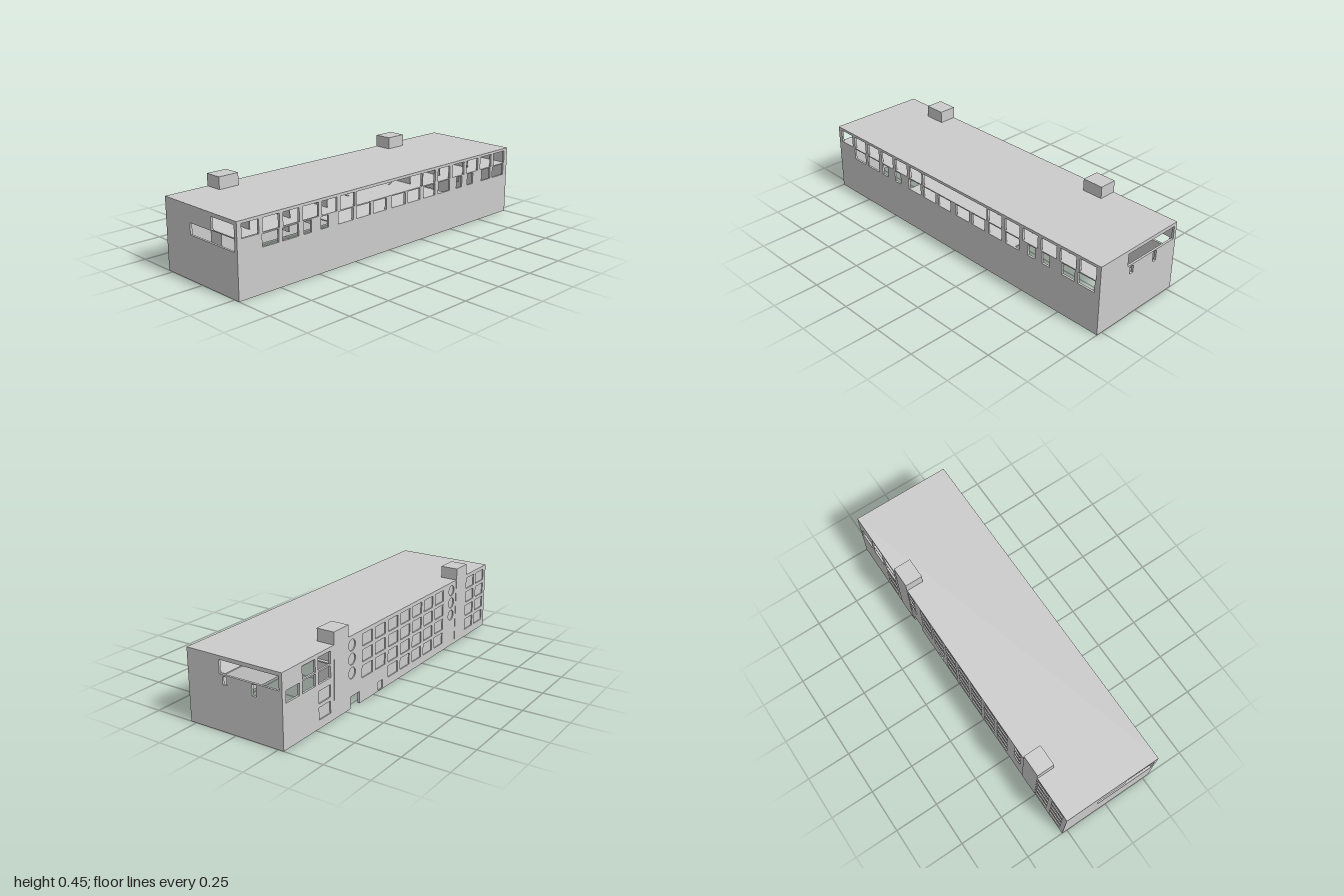
import * as THREE from 'three';

const W = 1, D = 0.283, H = 0.387, T = 0.012;
const material = new THREE.MeshStandardMaterial({ color: 0xcccccc, side: THREE.DoubleSide });

function add(group, name, geometry) {
  const mesh = new THREE.Mesh(geometry, material);
  mesh.name = name;
  group.add(mesh);
  return mesh;
}

// Box given by its two corners
function block(group, name, x0, x1, y0, y1, z0, z1) {
  const mesh = add(group, name, new THREE.BoxGeometry(x1 - x0, y1 - y0, z1 - z0));
  mesh.position.set((x0 + x1) / 2, (y0 + y1) / 2, (z0 + z1) / 2);
  return mesh;
}

const polygon = (points) => points.map(([x, y]) => new THREE.Vector2(x, y));
const rect = (x0, x1, y0, y1) => polygon([[x0, y0], [x1, y0], [x1, y1], [x0, y1]]);

// Flat plate with openings, each a list of points
function plate(outline, holes, depth) {
  const shape = new THREE.Shape(outline);
  holes.forEach((points) => shape.holes.push(new THREE.Path(points)));
  return new THREE.ExtrudeGeometry(shape, { depth, bevelEnabled: false });
}

function circle(x, y, r) {
  return new THREE.Path().absarc(x, y, r, 0, Math.PI * 2).getPoints(24);
}

// Centre of each window bay, counted from -x
const bay = (k) => -0.923 + 0.12307 * k;

export function createModel() {
  const model = new THREE.Group();
  model.name = 'longBuilding';

  // Front wall: upper window row with a wide middle opening
  const front = [rect(-0.246, 0.25, 0.3, 0.372)];
  for (let k = 0; k < 16; k++) {
    if (k < 6 || k > 9) front.push(rect(bay(k) - 0.05, bay(k) + 0.05, 0.3, 0.372));
  }
  // Lower row mixes wide and narrow windows
  const lower = [
    [-0.855, -0.755], [-0.733, -0.632], [-0.6, -0.55], [-0.487, -0.438], [-0.37, -0.268],
    [-0.246, -0.145], [-0.123, -0.027], [0.016, 0.118], [0.139, 0.235], [0.262, 0.358],
    [0.385, 0.481], [0.54, 0.588], [0.636, 0.685], [0.765, 0.845], [0.866, 0.968],
  ];
  lower.forEach(([a, b]) => front.push(rect(a, b, 0.23, 0.294)));
  add(model, 'frontWall', plate(rect(-W, W, 0, H), front, T)).position.z = D - T;

  // Back wall: open windows near the +x end, shallow blind windows elsewhere
  const open = [];
  [13, 14, 15].forEach((k) => {
    open.push(rect(bay(k) - 0.05, bay(k) + 0.05, 0.23, 0.292));
    if (k < 15) open.push(rect(bay(k) - 0.05, bay(k) + 0.05, 0.3, 0.367));
  });
  const blind = [rect(0.16, 0.205, 0.005, 0.052)];
  for (const k of [0, 1, 4, 5, 6, 7, 8, 9, 10]) {
    const rows = k >= 9 ? 3 : 4;
    for (let r = 0; r < rows; r++) {
      const y = 0.3 - r * 0.085;
      blind.push(rect(bay(k) - 0.047, bay(k) + 0.047, y, y + 0.065));
    }
  }
  for (let r = 1; r < 4; r++) {
    const y = 0.3 - r * 0.085;
    if (r > 1) blind.push(rect(bay(13) - 0.047, bay(13) + 0.047, y, y + 0.065));
  }
  // Portholes beside the towers
  for (const x of [-0.572, 0.445]) {
    for (let r = 0; r < 3; r++) blind.push(circle(x, 0.337 - r * 0.074, 0.03));
  }
  // Outline with a doorway notch
  const backOutline = polygon([
    [-W, 0], [0.38, 0], [0.38, 0.065], [0.462, 0.065], [0.462, 0], [W, 0], [W, H], [-W, H],
  ]);
  const backZ = -D + 0.002;
  add(model, 'backWallFace', plate(backOutline, [...open, ...blind], 0.006)).position.z = backZ;
  add(model, 'backWallCore', plate(backOutline, open, 0.006)).position.z = backZ + 0.006;

  // End walls, drawn along z and turned into place
  const sideOutline = rect(-D + 0.002, D, 0, H);
  const rightWall = add(model, 'rightEndWall', plate(sideOutline, [
    rect(-0.263, 0.086, 0.296, 0.367),
    rect(0.043, 0.068, 0.245, 0.287),
    rect(-0.132, -0.107, 0.232, 0.291),
  ], T));
  rightWall.rotation.y = -Math.PI / 2;
  rightWall.position.x = W;
  const leftWall = add(model, 'leftEndWall', plate(sideOutline, [
    polygon([[-0.08, 0.235], [0.263, 0.235], [0.263, 0.367], [0.09, 0.367], [0.09, 0.297], [-0.08, 0.297]]),
  ], T));
  leftWall.rotation.y = -Math.PI / 2;
  leftWall.position.x = -W + T;

  // Roof, and towers that run down the back wall
  block(model, 'roof', -W, W, H - 0.01, H, -D + 0.002, D);
  for (const x of [-0.745, 0.48]) {
    block(model, 'tower', x, x + 0.12, 0.005, 0.453, -D, -0.183);
  }

  // Inner floors
  const inX = W - T, inZ = D - T;
  block(model, 'upperFloor', -inX, 0.62, 0.292, 0.298, -inZ, inZ);
  block(model, 'upperFloorEnd', 0.62, inX, 0.292, 0.298, 0.06, inZ);
  block(model, 'middleFloor', -0.37, 0.44, 0.222, 0.228, -inZ, inZ);

  // Corridor wall and room partitions
  block(model, 'corridorWall', -0.86, 0.6, 0.298, H - 0.01, -0.098, -0.092);
  for (const k of [1, 3, 5, 10, 12, 14]) {
    const x = bay(k) - 0.0615;
    block(model, 'upperPartition', x - 0.003, x + 0.003, 0.298, H - 0.01, -0.05, 0.2);
  }
  for (const x of [-0.62, -0.46, 0.45, 0.66]) {
    block(model, 'lowerPartition', x - 0.004, x + 0.004, 0.228, 0.292, -0.05, 0.2);
  }

  // Sloping stair flights at both ends of the wide opening
  for (const s of [-1, 1]) {
    const flight = block(model, 'stairFlight', -0.045, 0.045, 0, 0.006, -0.03, 0.03);
    flight.position.set(s * 0.185, 0.316, 0.1);
    flight.rotation.z = s * 0.5;
  }
  return model;
}
